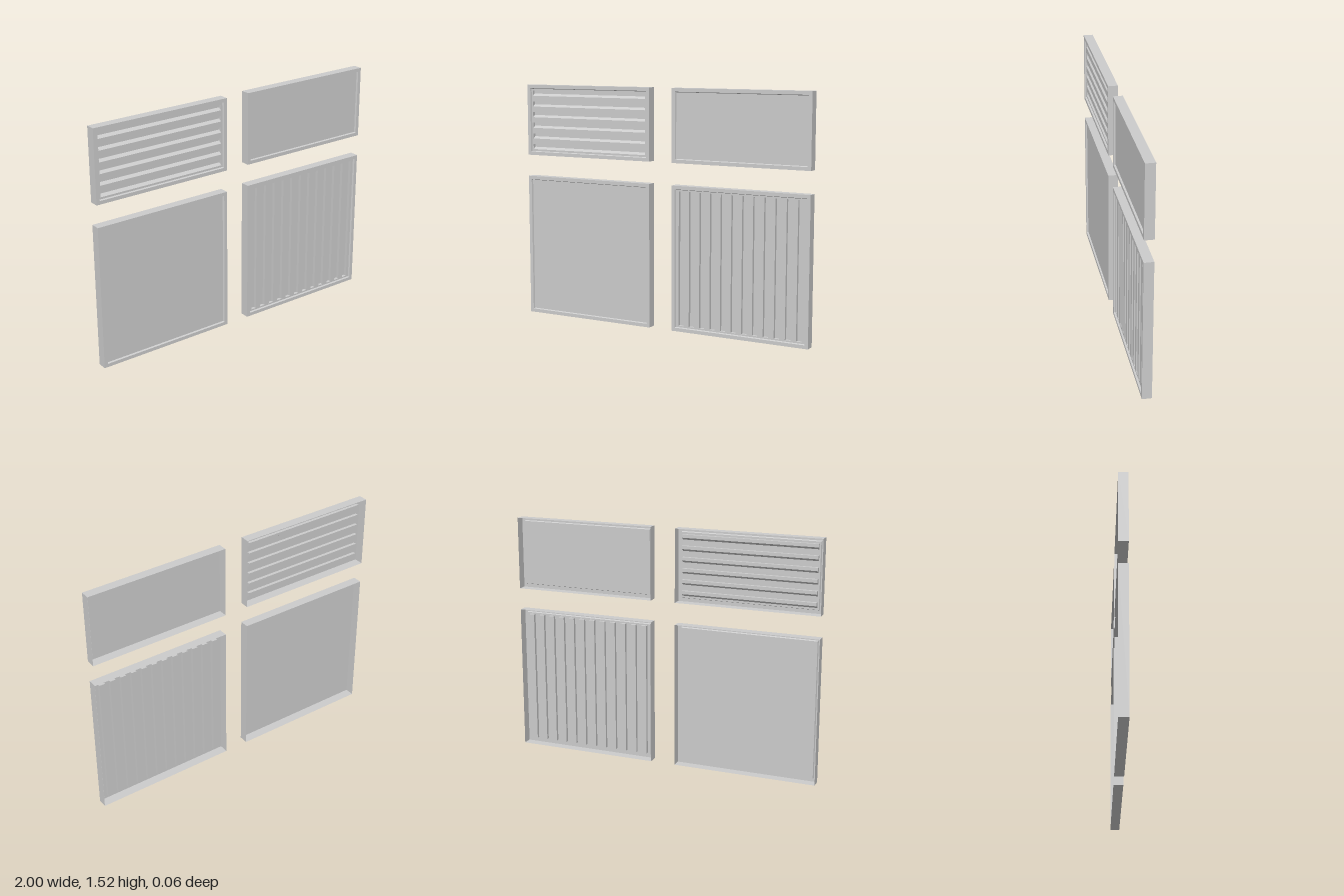
import * as THREE from 'three';

const material = new THREE.MeshStandardMaterial({ color: 0xcccccc, flatShading: true, side: THREE.DoubleSide });
const HALF_DEPTH = 0.03, RIM = 0.022, FIELD_Z = 0.019;

// Rectangle ring at depth z, counter-clockwise seen from the front
const ring = (x0, x1, y0, y1, z) => [[x0, y0, z], [x1, y0, z], [x1, y1, z], [x0, y1, z]];

// Folded sheet: joins successive rings with quads, optionally closing the last one
function foldedSheet(rings, closed) {
  const pos = [];
  const quad = (a, b, c, d) => pos.push(...a, ...b, ...c, ...a, ...c, ...d);
  for (let r = 0; r + 1 < rings.length; r++) {
    for (let i = 0; i < 4; i++) {
      const j = (i + 1) % 4;
      quad(rings[r][i], rings[r][j], rings[r + 1][j], rings[r + 1][i]);
    }
  }
  if (closed) quad(...rings[rings.length - 1]);
  const g = new THREE.BufferGeometry();
  g.setAttribute('position', new THREE.Float32BufferAttribute(pos, 3));
  g.computeVertexNormals();
  return g;
}

function addMesh(group, name, geometry) {
  const mesh = new THREE.Mesh(geometry, material);
  mesh.name = name;
  group.add(mesh);
}

// Open-backed tray panel with a raised rim, a sunken field and pressed grooves
function panel(name, width, height, x, y, grooves = []) {
  const group = new THREE.Group();
  group.name = name;
  const w = width / 2, h = height / 2;
  const inset = (d, z) => ring(-w + d, w - d, -h + d, h - d, z);

  addMesh(group, 'frame', foldedSheet([
    inset(0, -HALF_DEPTH), inset(0, HALF_DEPTH), inset(RIM, HALF_DEPTH), inset(RIM + 0.004, FIELD_Z),
  ], false));

  // Field sheet, cut out where the grooves are pressed in
  const toShape = (Type, pts) => new Type(pts.map(p => new THREE.Vector2(p[0], p[1])));
  const field = toShape(THREE.Shape, inset(RIM + 0.004, 0));
  for (const g of grooves) {
    field.holes.push(toShape(THREE.Path, ring(g.x0, g.x1, g.y0, g.y1, 0)));
  }
  addMesh(group, 'field', new THREE.ShapeGeometry(field).translate(0, 0, FIELD_Z));

  // Groove pockets; slope raises the floor's lower edge to form a louvre
  for (const g of grooves) {
    addMesh(group, 'groove', foldedSheet([
      ring(g.x0, g.x1, g.y0, g.y1, FIELD_Z),
      ring(g.x0, g.x1, g.y0 + g.slope, g.y1, FIELD_Z - g.depth),
    ], true));
  }
  group.position.set(x, y, 0);
  return group;
}

export function createModel() {
  const model = new THREE.Group();
  model.name = 'panelSet';
  const W = 0.92, TALL = 0.92, SHORT = 0.46, X = 0.54, LOW = 0.46, HIGH = 1.29;

  // Twelve upright grooves
  const ribs = Array.from({ length: 12 }, (_, i) => {
    const c = (i - 5.5) * 0.0722;
    return { x0: c - 0.018, x1: c + 0.018, y0: -0.425, y1: 0.425, depth: 0.02, slope: 0 };
  });

  // Six horizontal louvres
  const louvres = Array.from({ length: 6 }, (_, i) => {
    const c = (i - 2.5) * 0.07;
    return { x0: -0.425, x1: 0.425, y0: c - 0.017, y1: c + 0.017, depth: 0.02, slope: 0.014 };
  });

  model.add(
    panel('plainSquarePanel', W, TALL, -X, LOW),
    panel('ribbedSquarePanel', W, TALL, X, LOW, ribs),
    panel('louvredHalfPanel', W, SHORT, -X, HIGH, louvres),
    panel('plainHalfPanel', W, SHORT, X, HIGH),
  );
  return model;
}
